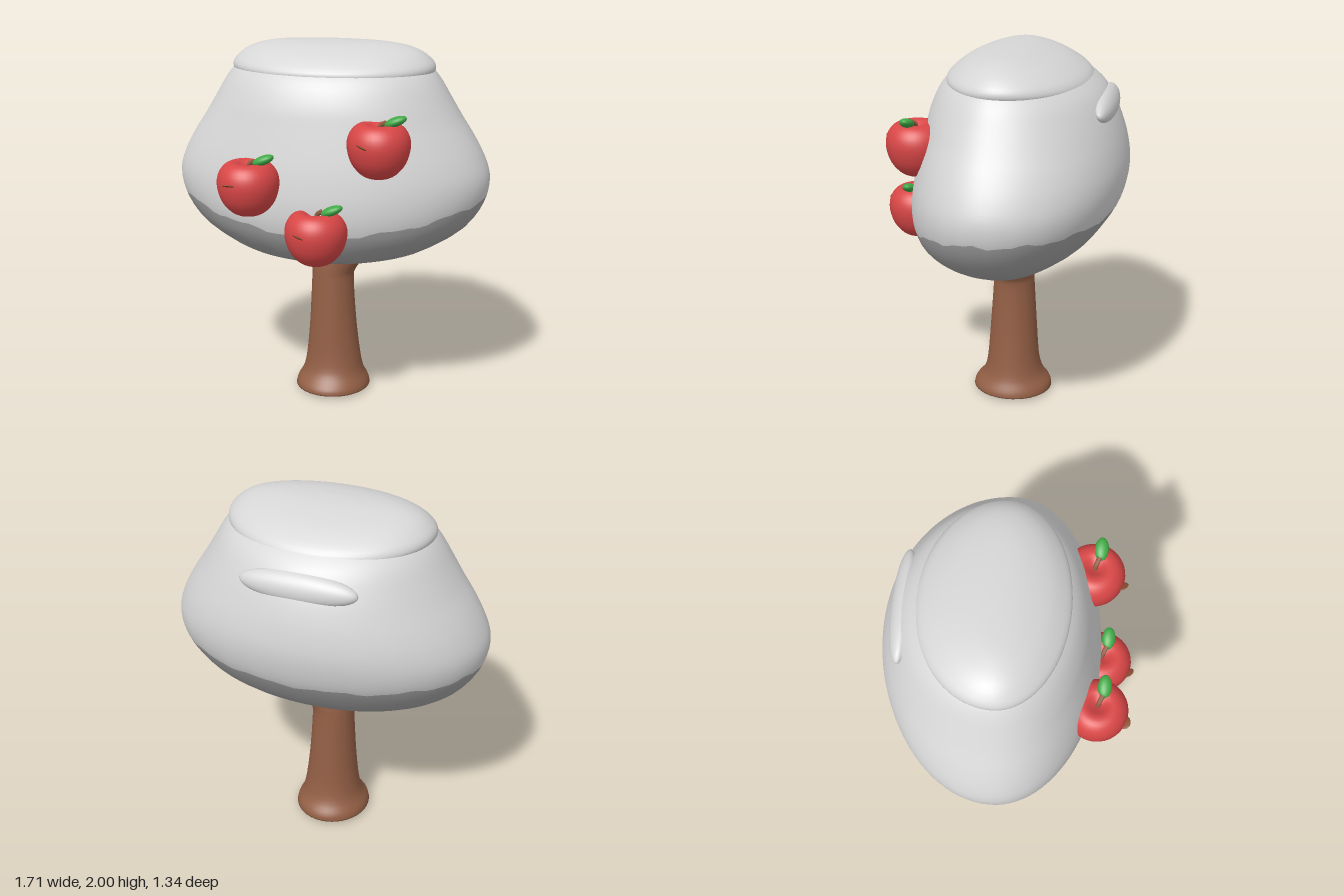
import * as THREE from 'three';

const mat = (name, color, extra = {}) =>
  Object.assign(new THREE.MeshStandardMaterial({ color, ...extra }), { name });

// Loft of egg-shaped rings. Each row: [y, centreX, halfWidthX, frontZ, backZ].
// split(angle) gives the row position where the second material group begins.
function loft(rows, cz, { sides = 72, low = 14, high = 26, split = () => (rows.length - 1) / 2 } = {}) {
  const curve = new THREE.CubicInterpolant(rows.map((_, i) => i), rows.flat(), 5);
  const last = rows.length - 1, n = low + high, pos = [], idx = [];
  for (let i = 0; i <= n; i++) {
    for (let j = 0; j < sides; j++) {
      const a = (j / sides) * Math.PI * 2, s = Math.sin(a), m = split(a);
      const u = i <= low ? (m * i) / low : m + ((last - m) * (i - low)) / high;
      const [y, cx, hx, f, b] = curve.evaluate(Math.min(u, last));
      pos.push(cx + hx * Math.cos(a), y, cz + s * (s > 0 ? f - cz : cz - b));
    }
  }
  for (let i = 0; i < n; i++) {
    for (let j = 0; j < sides; j++) {
      const k = (j + 1) % sides, p = i * sides, q = p + sides;
      idx.push(p + j, q + j, p + k, q + j, q + k, p + k);
    }
  }
  const g = new THREE.BufferGeometry();
  g.setAttribute('position', new THREE.Float32BufferAttribute(pos, 3));
  g.setIndex(idx);
  g.addGroup(0, low * sides * 6, 0);
  g.addGroup(low * sides * 6, high * sides * 6, 1);
  g.computeVertexNormals();
  return g;
}

export function createModel() {
  const model = new THREE.Group();
  model.name = 'appleTree';
  const light = mat('light grey', 0xd6d6d6);
  const dark = mat('dark grey', 0xa0a0a0);
  const brown = mat('bark brown', 0x935f45);
  const red = mat('apple red', 0xd84646);
  const green = mat('leaf green', 0x3fa845);
  const spotMat = mat('spot brown', 0x8c5030);

  const add = (parent, name, geometry, material) => {
    const m = new THREE.Mesh(geometry, material);
    m.name = name;
    parent.add(m);
    return m;
  };

  // Trunk with a flared foot and a swelling under the crown
  add(model, 'trunk', loft([
    [0.01, 0, 0, -0.035, -0.035],
    [0.01, 0, 0.19, 0.165, -0.235],
    [0.03, 0, 0.207, 0.185, -0.255],
    [0.06, 0, 0.197, 0.17, -0.245],
    [0.11, 0.002, 0.172, 0.13, -0.21],
    [0.2, 0.003, 0.153, 0.108, -0.185],
    [0.4, 0, 0.132, 0.092, -0.17],
    [0.65, -0.002, 0.118, 0.075, -0.155],
    [0.72, 0.006, 0.124, 0.072, -0.152],
    [0.8, 0.035, 0.15, 0.07, -0.15],
    [0.9, 0.05, 0.16, 0.07, -0.15],
  ], -0.035, { sides: 40, high: 20 }), [brown, brown]);
  add(model, 'trunkBase', new THREE.CylinderGeometry(0.18, 0.17, 0.012, 12), brown)
    .position.set(0, 0.006, -0.035);

  // Crown, darker below an uneven line that dips at the front
  const crownRows = [
    [0.8, 0, 0, -0.03, -0.03],
    [0.82, 0, 0.28, 0.2, -0.17],
    [0.855, 0, 0.44, 0.31, -0.27],
    [0.9, 0, 0.56, 0.39, -0.35],
    [1.0, 0, 0.72, 0.46, -0.48],
    [1.1, 0, 0.805, 0.488, -0.56],
    [1.2, 0, 0.848, 0.49, -0.62],
    [1.3, 0, 0.855, 0.478, -0.65],
    [1.4, 0, 0.82, 0.46, -0.66],
    [1.5, 0, 0.765, 0.438, -0.648],
    [1.6, 0, 0.7, 0.415, -0.622],
    [1.7, 0, 0.64, 0.39, -0.583],
    [1.8, 0, 0.58, 0.345, -0.525],
    [1.87, 0, 0.52, 0.285, -0.44],
    [1.93, 0, 0.43, 0.21, -0.335],
    [1.97, 0, 0.3, 0.11, -0.22],
    [1.985, 0, 0, -0.03, -0.03],
  ];
  const edge = (a) => {
    const y = 1.19 - 0.14 * Math.max(0, Math.sin(a)) ** 2 + 0.008 * Math.sin(13 * a) + 0.005 * Math.sin(29 * a);
    return (y - 0.6) * 10;
  };
  add(model, 'crown', loft(crownRows, -0.03, { sides: 96, high: 34, split: edge }), [dark, light]);

  // Soft raised cap on top of the crown
  add(model, 'crownCap', loft([
    [1.8, 0, 0.5, 0.27, -0.44],
    [1.835, 0, 0.54, 0.3, -0.46],
    [1.865, 0, 0.55, 0.302, -0.45],
    [1.9, 0, 0.532, 0.27, -0.41],
    [1.945, 0, 0.475, 0.205, -0.32],
    [1.975, 0, 0.395, 0.13, -0.22],
    [1.993, 0, 0.27, 0.05, -0.13],
    [2.0, 0, 0, -0.04, -0.04],
  ], -0.04, { low: 10, high: 14 }), [light, light]);

  // Low swelling on the back of the crown
  const swelling = add(model, 'backSwelling', new THREE.SphereGeometry(1, 32, 20), light);
  swelling.scale.set(0.31, 0.08, 0.06);
  swelling.position.set(0, 1.72, -0.53);
  swelling.rotation.x = 0.4;

  // Apples
  const profile = new THREE.SplineCurve([
    [0, -0.13], [0.035, -0.146], [0.09, -0.125], [0.14, -0.065], [0.162, 0.015],
    [0.152, 0.08], [0.115, 0.125], [0.07, 0.134], [0.03, 0.112], [0, 0.095],
  ].map(([x, y]) => new THREE.Vector2(x, y))).getPoints(30);
  profile.forEach((p) => { p.x = Math.max(0, p.x); });
  const appleGeo = new THREE.LatheGeometry(profile, 36);
  const ball = new THREE.SphereGeometry(1, 20, 14);
  const stemGeo = new THREE.TubeGeometry(new THREE.CatmullRomCurve3([
    new THREE.Vector3(0, 0.09, 0), new THREE.Vector3(0.01, 0.125, 0.005), new THREE.Vector3(0.045, 0.15, 0.02),
  ]), 8, 0.013, 8);

  [[-0.335, 1.3, 0.48], [0.33, 1.515, 0.41], [0.025, 1.06, 0.498]].forEach((p, i) => {
    const apple = new THREE.Group();
    apple.name = 'apple' + (i + 1);
    apple.position.set(...p);
    add(apple, 'fruit', appleGeo, red);
    add(apple, 'stem', stemGeo, brown);
    const leaf = add(apple, 'leaf', ball, green);
    leaf.scale.set(0.06, 0.024, 0.036);
    leaf.position.set(0.088, 0.153, 0.027);
    leaf.rotation.z = 0.38;
    const spot = add(apple, 'spot', ball, spotMat);
    spot.scale.set(0.034, 0.027, 0.0049);
    spot.position.set(-0.06, 0.04, 0.15);
    spot.lookAt(-0.43, 0.19, 1.07);
    model.add(apple);
  });
  return model;
}
